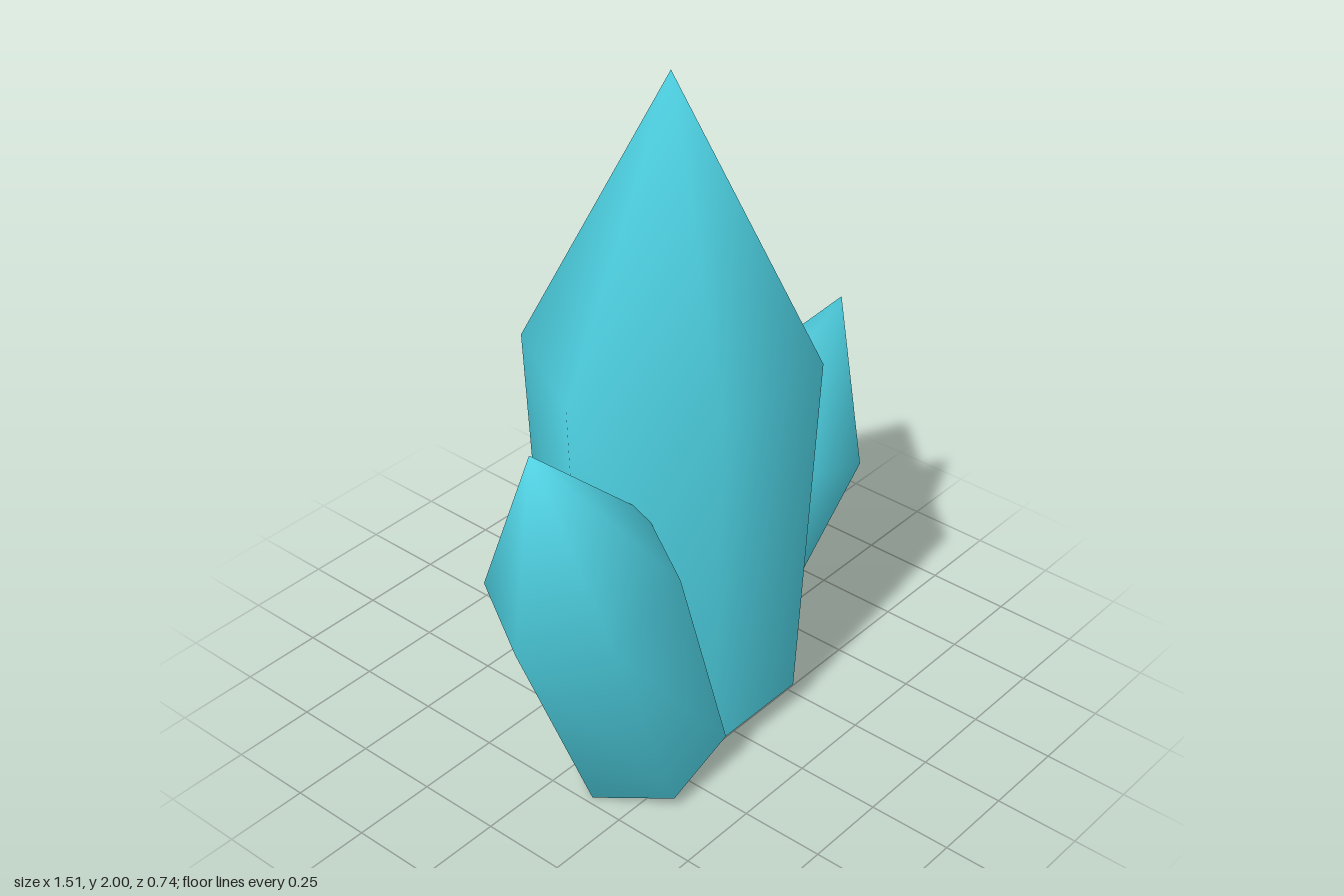
import * as THREE from 'three';
import { mergeVertices } from 'three/addons/utils/BufferGeometryUtils.js';

// Six-sided crystal: tapered shaft from the origin, then a pointed tip
function crystalGeometry(radius, shaft, tip) {
  const profile = [
    [0, 0], [radius * 0.878, 0], [radius, shaft], [0, shaft + tip],
  ].map(([r, y]) => new THREE.Vector2(r, y));
  const lathe = new THREE.LatheGeometry(profile, 6);
  lathe.rotateY(Math.PI / 2); // corners on the x axis
  // weld every corner so the shading runs smoothly over all faces
  lathe.deleteAttribute('normal');
  lathe.deleteAttribute('uv');
  const geometry = mergeVertices(lathe, 1e-4);
  geometry.computeVertexNormals();
  return geometry;
}

export function createModel() {
  const group = new THREE.Group();
  group.name = 'crystalCluster';
  const cyan = new THREE.MeshStandardMaterial({ color: 0x4dd0e1 });
  cyan.name = 'crystalCyan';

  const crystals = [
    { name: 'mainCrystal', base: [0.02, 0.08, -0.01], lean: [0, 1, 0], size: [0.415, 1.1, 0.82] },
    { name: 'rightCrystal', base: [-0.257, 0.083, 0.133], lean: [-0.342, 0.94, 0], size: [0.27, 0.725, 0.516] },
    { name: 'leftCrystal', base: [0.302, 0.08, -0.134], lean: [0.324, 0.925, 0.198], size: [0.252, 0.65, 0.455] },
  ];
  const up = new THREE.Vector3(0, 1, 0);
  for (const { name, base, lean, size } of crystals) {
    const mesh = new THREE.Mesh(crystalGeometry(...size), cyan);
    mesh.name = name;
    mesh.position.set(...base);
    mesh.quaternion.setFromUnitVectors(up, new THREE.Vector3(...lean).normalize());
    group.add(mesh);
  }
  return group;
}
